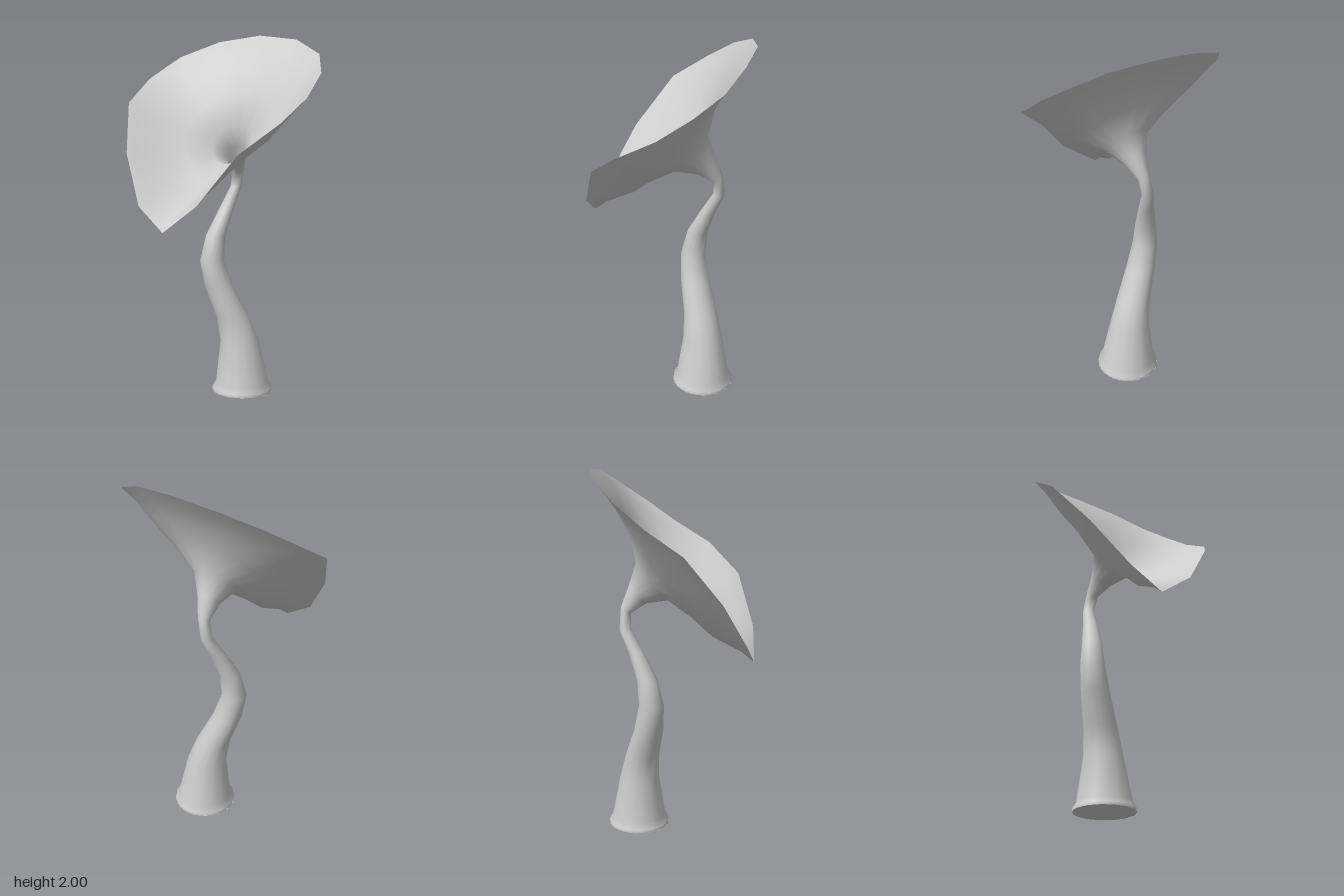
import * as THREE from 'three';

const SEG = 15;
const lerp = THREE.MathUtils.lerp;

// Wavy outline of the flared mouth, from the back round by the left side
const RIM = [
  [0.05, 2.0, -0.44], [0.29, 1.975, -0.395], [0.46, 1.895, -0.305], [0.525, 1.795, -0.165],
  [0.515, 1.67, 0.01], [0.455, 1.55, 0.21], [0.295, 1.4, 0.365], [0.1, 1.14, 0.435],
  [-0.1, 0.99, 0.425], [-0.27, 1.11, 0.375], [-0.425, 1.37, 0.235], [-0.53, 1.63, 0.035],
  [-0.505, 1.76, -0.155], [-0.39, 1.88, -0.31], [-0.19, 1.965, -0.41],
];

// Stem sections: centre x, y, z and radius
const STEM = [
  [0.06, 0, -0.2, 0.17], [0.06, 0.018, -0.2, 0.17], [0.06, 0.05, -0.2, 0.15], [0.045, 0.29, -0.195, 0.109],
  [0.01, 0.43, -0.177, 0.093], [-0.058, 0.6, -0.14, 0.08], [-0.095, 0.75, -0.125, 0.068],
  [-0.083, 0.89, -0.148, 0.056], [-0.045, 1.04, -0.21, 0.041],
];

// Bloom sections: centre x, half width, back y/z, front y/z, blend from circle to rim outline
const BLOOM = [
  [-0.015, 0.032, 1.15, -0.297, 1.16, -0.235, 0],
  [0.005, 0.032, 1.275, -0.287, 1.24, -0.232, 0],
  [0.02, 0.06, 1.39, -0.243, 1.29, -0.15, 0],
  [0.03, 0.115, 1.51, -0.205, 1.305, -0.03, 0.1],
  [0.025, 0.25, 1.67, -0.24, 1.22, 0.09, 0.5],
  [0.01, 0.38, 1.81, -0.305, 1.12, 0.21, 0.8],
  [0, 0.47, 1.91, -0.37, 1.045, 0.365, 0.95],
  [0, 0.525, 2.0, -0.44, 0.99, 0.435, 1],
];

// One closed section, morphing between an ellipse and the rim outline
function section([cx, w, yb, zb, yf, zf, k]) {
  return RIM.map(([rx, ry, rz], i) => {
    const a = (i / SEG) * Math.PI * 2;
    const round = (1 - Math.cos(a)) / 2;
    return [
      cx + w * lerp(Math.sin(a), rx / 0.525, k),
      lerp(yb, yf, lerp(round, (2 - ry) / 1.01, k)),
      lerp(zb, zf, lerp(round, (rz + 0.44) / 0.875, k)),
    ];
  });
}

function stripIndex(first, last) {
  const index = [];
  for (let j = first; j < last; j++) {
    for (let i = 0; i < SEG; i++) {
      const n = (i + 1) % SEG;
      const a = j * SEG + i, b = j * SEG + n, c = a + SEG, d = b + SEG;
      index.push(b, a, c, b, c, d);
    }
  }
  return index;
}

export function createModel() {
  const group = new THREE.Group();
  const material = new THREE.MeshStandardMaterial({ color: 0xcccccc, side: THREE.DoubleSide });

  // Stem and bloom share one skin so the shading flows through the neck
  const rings = [...STEM.map(([x, y, z, r]) => [x, r, y, z - r, y, z + r, 0]), ...BLOOM];
  const skin = new THREE.BufferGeometry();
  skin.setAttribute('position', new THREE.Float32BufferAttribute(rings.map(section).flat(2), 3));
  skin.setIndex(stripIndex(0, rings.length - 1));
  skin.computeVertexNormals();

  const addPart = (name, first, last) => {
    const geometry = new THREE.BufferGeometry();
    geometry.setAttribute('position', skin.attributes.position);
    geometry.setAttribute('normal', skin.attributes.normal);
    geometry.setIndex(stripIndex(first, last));
    const mesh = new THREE.Mesh(geometry, material);
    mesh.name = name;
    group.add(mesh);
  };
  addPart('stem', 0, STEM.length);
  addPart('bloom', STEM.length, rings.length - 1);

  // Flat underside of the foot
  const foot = new THREE.Mesh(new THREE.CircleGeometry(0.17, SEG), material);
  foot.name = 'footUnderside';
  foot.rotation.set(Math.PI / 2, 0, Math.PI / 2);
  foot.position.set(0.06, 0, -0.2);
  group.add(foot);

  return group;
}
